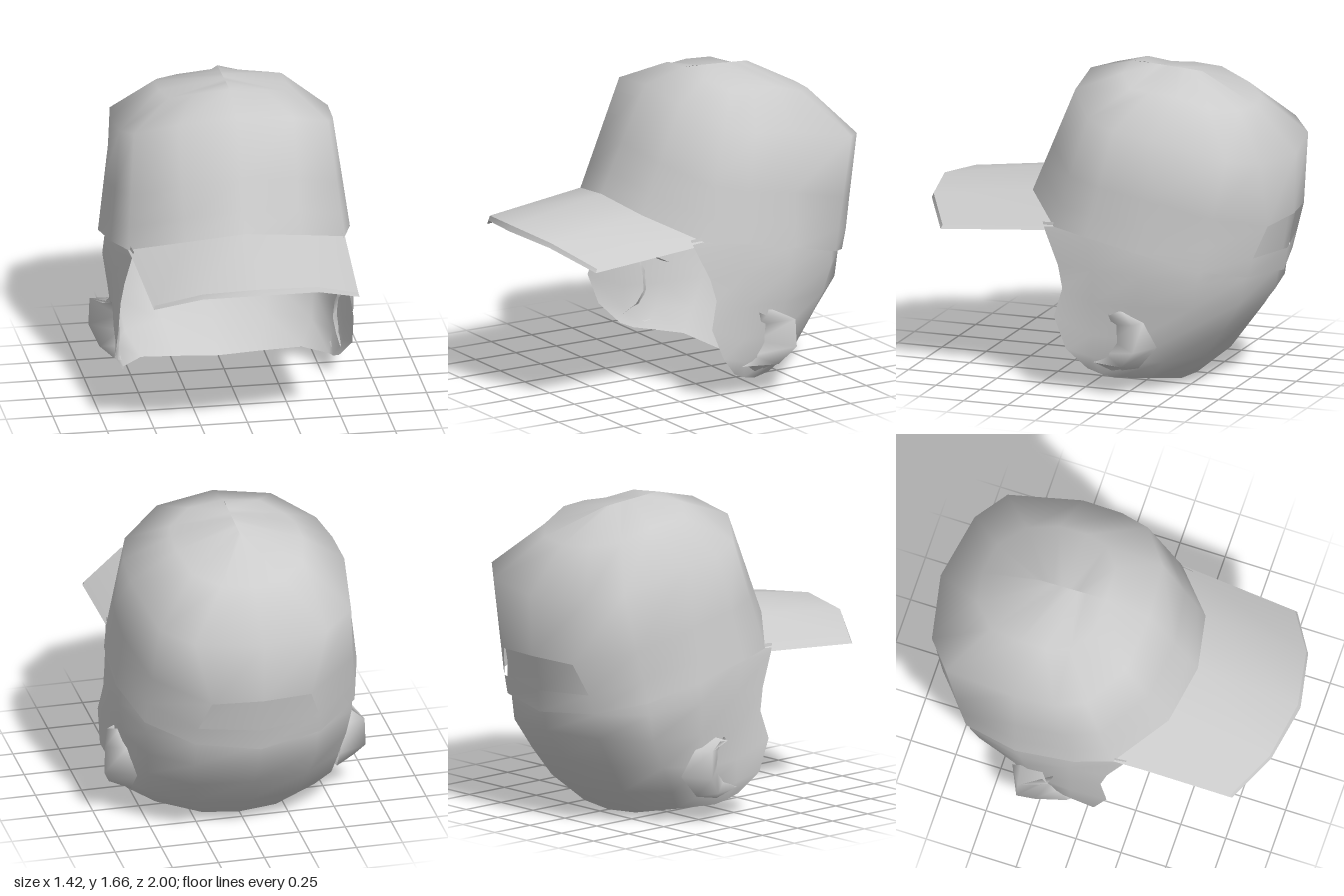
import * as THREE from 'three';

const material = new THREE.MeshStandardMaterial({ color: 0xcccccc, side: THREE.DoubleSide });
const flip = ([x, y, z]) => [-x, y, z];
// Both halves of a section whose half runs to or from the centre line
const toBack = (half) => [...half, ...half.slice(0, -1).reverse().map(flip)];
const fromCentre = (half) => [...half.slice(1).reverse().map(flip), ...half];
const mix = (a, b, t) => a.map((p, i) => p.map((v, k) => v + (b[i][k] - v) * t));

// Smooth surface through equal-length rows of points
function loft(name, rows, { closed = false, skip = () => false } = {}) {
  const n = rows[0].length;
  const index = [];
  for (let r = 0; r < rows.length - 1; r++) {
    for (let c = 0; c < (closed ? n : n - 1); c++) {
      if (skip(r, c)) continue;
      const a = r * n + c, b = r * n + (c + 1) % n;
      index.push(a, b, b + n, a, b + n, a + n);
    }
  }
  const g = new THREE.BufferGeometry();
  g.setAttribute('position', new THREE.Float32BufferAttribute(rows.flat(2), 3));
  g.setIndex(index);
  g.computeVertexNormals();
  const mesh = new THREE.Mesh(g, material);
  mesh.name = name;
  return mesh;
}

export function createModel() {
  const model = new THREE.Group();
  model.name = 'cappedHead';

  // Cap crown: half rings from front centre to back centre
  const rim = [[0, 1.05, 0.43], [0.31, 1.0, 0.37], [0.58, 0.885, 0.15], [0.64, 0.86, -0.05],
    [0.655, 0.795, -0.37], [0.57, 0.71, -0.67], [0.34, 0.64, -0.85], [0, 0.61, -0.93]];
  const shoulder = [[0, 1.61, 0.16], [0.31, 1.57, 0.13], [0.52, 1.475, -0.02], [0.57, 1.43, -0.18],
    [0.58, 1.41, -0.4], [0.55, 1.34, -0.68], [0.36, 1.27, -0.93], [0, 1.25, -1]];
  shoulder[5] = [0.52, 1.31, -0.8];
  const upper = [[0, 1.67, -0.08], [0.19, 1.65, -0.09], [0.31, 1.6, -0.18], [0.34, 1.6, -0.3],
    [0.34, 1.59, -0.45], [0.3, 1.53, -0.62], [0.17, 1.5, -0.74], [0, 1.49, -0.77]];
  const ridge = upper.map((p, i) => [0, 1.67 - 0.003 * i, -0.14 - 0.047 * i]);
  // Edges of the adjustment opening at the back
  const strapTop = mix(rim, shoulder, 0.2);
  strapTop[6] = [0.33, 0.745, -0.88];
  strapTop[7] = [0, 0.73, -0.95];
  const openingTop = mix(rim, shoulder, 0.47);
  openingTop[6] = [0.27, 0.91, -0.94];
  openingTop[7] = [0, 0.92, -0.985];
  model.add(loft('capCrown', [rim, strapTop, openingTop, shoulder, upper, ridge].map((h) => toBack(h).slice(0, -1)),
    { closed: true, skip: (r, c) => r === 1 && (c === 6 || c === 7) }));

  // Arched brim with a thin edge
  const brimInner = fromCentre(rim.slice(0, 3));
  const brimOuter = fromCentre([[0, 0.96, 0.985], [0.31, 0.93, 0.93], [0.545, 0.825, 0.79]]);
  const brimInnerUnder = brimInner.map(([x, y, z]) => [x * 0.98, y - 0.02, z - 0.03]);
  const brimOuterUnder = fromCentre([[0, 0.93, 1], [0.31, 0.905, 0.94], [0.55, 0.805, 0.8]]);
  model.add(loft('capBrim', [brimInnerUnder, brimOuterUnder, brimOuterUnder, brimOuter, brimOuter, brimInner]));

  // Back and sides of the head, open at the face and neck; half rows run from cheek to nape
  const headRows = [
    [[0.58, 0.13, -0.04], [0.56, 0.1, -0.11], [0.55, 0.085, -0.18], [0.43, 0.066, -0.34], [0.2, 0.02, -0.43], [0, 0.005, -0.44]],
    [[0.635, 0.24, 0.06], [0.61, 0.2, -0.08], [0.58, 0.18, -0.26], [0.5, 0.18, -0.44], [0.28, 0.17, -0.59], [0, 0.16, -0.63]],
    [[0.63, 0.41, 0.13], [0.61, 0.32, -0.08], [0.59, 0.31, -0.3], [0.52, 0.33, -0.52], [0.31, 0.325, -0.7], [0, 0.33, -0.75]],
    [[0.61, 0.56, 0.09], [0.62, 0.5, -0.08], [0.61, 0.49, -0.33], [0.54, 0.49, -0.61], [0.33, 0.495, -0.81], [0, 0.5, -0.88]],
    [[0.595, 0.68, 0.12], [0.62, 0.68, -0.08], [0.635, 0.67, -0.35], [0.56, 0.64, -0.65], [0.33, 0.63, -0.83], [0, 0.62, -0.9]],
    [[0.57, 0.85, 0.2], [0.61, 0.85, -0.05], [0.62, 0.8, -0.35], [0.54, 0.76, -0.67], [0.32, 0.74, -0.85], [0, 0.73, -0.925]],
    [[0.56, 0.9, 0.22], [0.59, 0.93, -0.05], [0.6, 0.93, -0.35], [0.53, 0.93, -0.68], [0.31, 0.94, -0.9], [0, 0.94, -0.96]],
  ];
  model.add(loft('head', headRows.map(toBack)));

  // Ears: front base, raised outer rim, back base
  const earRows = [
    [[0.59, 0.17, -0.06], [0.58, 0.22, -0.14], [0.57, 0.29, -0.18], [0.58, 0.38, -0.18], [0.61, 0.46, -0.17]],
    [[0.62, 0.175, -0.1], [0.665, 0.175, -0.26], [0.71, 0.27, -0.345], [0.705, 0.42, -0.34], [0.66, 0.45, -0.19]],
    [[0.56, 0.12, -0.18], [0.56, 0.15, -0.32], [0.55, 0.27, -0.42], [0.59, 0.41, -0.36], [0.6, 0.47, -0.24]],
  ].map((row) => row.slice().reverse());
  model.add(loft('leftEar', earRows.slice().reverse()));
  model.add(loft('rightEar', earRows.map((row) => row.map(flip))));

  return model;
}
